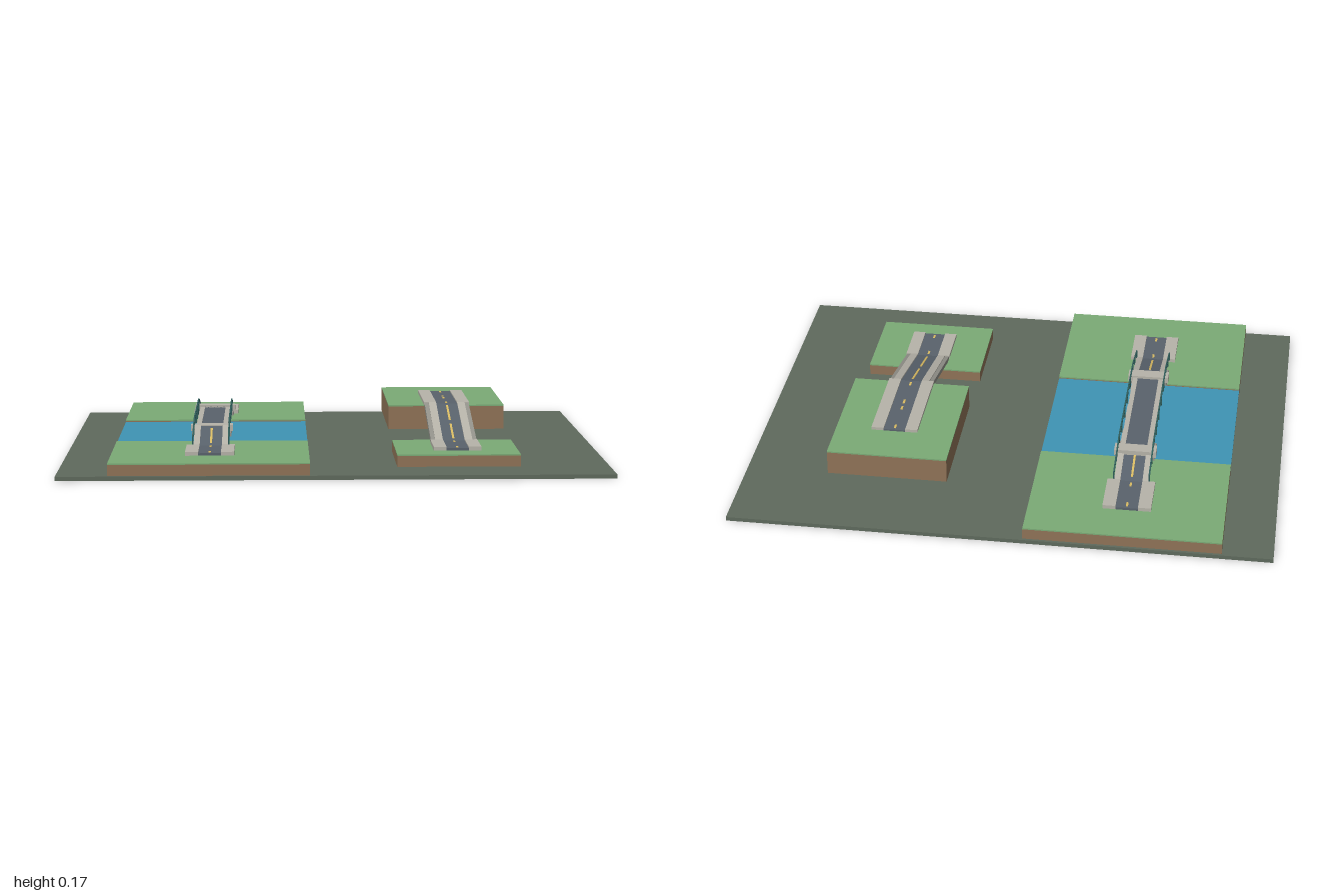
import * as THREE from 'three';

const mat = (name, color) => {
  const m = new THREE.MeshStandardMaterial({ color });
  m.name = name;
  return m;
};

export function createModel() {
  const model = new THREE.Group();
  model.name = 'roadBridgeDiorama';
  const M = {
    base: mat('base grey green', 0x5f6a5d),
    grass: mat('grass green', 0x7bab76),
    dirt: mat('dirt brown', 0x8f7357),
    water: mat('water blue', 0x3f94b4),
    road: mat('asphalt', 0x59626c),
    kerb: mat('pale concrete', 0xb6b3a9),
    stone: mat('grey concrete', 0x93928b),
    paint: mat('lane yellow', 0xd8ba62),
    rail: mat('railing teal', 0x2f5c59),
  };

  const group = (name) => {
    const g = new THREE.Group();
    g.name = name;
    model.add(g);
    return g;
  };

  // Axis-aligned block given by its extents
  const block = (parent, name, m, x0, x1, y0, y1, z0, z1) => {
    const mesh = new THREE.Mesh(new THREE.BoxGeometry(x1 - x0, y1 - y0, z1 - z0), m);
    mesh.position.set((x0 + x1) / 2, (y0 + y1) / 2, (z0 + z1) / 2);
    mesh.name = name;
    parent.add(mesh);
  };

  // Slab whose top runs from height ya at za to yb at zb (za < zb)
  const slab = (parent, name, m, x0, x1, za, ya, zb, yb, t) => {
    const geo = new THREE.BoxGeometry(x1 - x0, t, 1);
    const p = geo.attributes.position;
    for (let i = 0; i < p.count; i++) {
      const k = p.getZ(i) + 0.5;
      p.setY(i, p.getY(i) - t / 2 + ya + (yb - ya) * k);
      p.setZ(i, za + (zb - za) * k);
    }
    geo.computeVertexNormals();
    const mesh = new THREE.Mesh(geo, m);
    mesh.position.x = (x0 + x1) / 2;
    mesh.name = name;
    parent.add(mesh);
  };

  // Dirt block with a thin grass top
  const land = (name, x0, x1, y0, y1, z0, z1) => {
    const g = group(name);
    block(g, 'dirt', M.dirt, x0, x1, y0, y1 - 0.005, z0, z1);
    block(g, 'grass', M.grass, x0, x1, y1 - 0.005, y1, z0, z1);
  };

  // Road section with raised pavements; dashes are [start, end] fractions
  const roadPiece = (name, cx, half, za, ya, zb, yb, dashes, t = 0.012) => {
    const g = group(name);
    const at = (k) => [za + (zb - za) * k, ya + (yb - ya) * k];
    slab(g, 'roadSurface', M.road, cx - 0.041, cx + 0.041, za, ya, zb, yb, t);
    for (const s of [-1, 1]) {
      const a = cx + s * 0.041, b = cx + s * half;
      slab(g, 'pavement', M.kerb, Math.min(a, b), Math.max(a, b), za, ya + 0.005, zb, yb + 0.005, t + 0.005);
    }
    for (const [k0, k1] of dashes) {
      const [z0, y0] = at(k0), [z1, y1] = at(k1);
      slab(g, 'laneDash', M.paint, cx - 0.004, cx + 0.004, z0, y0 + 0.0015, z1, y1 + 0.0015, 0.0015);
    }
    return g;
  };
  const ends = [[0.06, 0.2], [0.8, 0.94]];

  // Ground
  block(model, 'basePlate', M.base, -1, 1, 0, 0.015, -0.815, 0.815);
  land('backBank', -0.815, -0.095, 0.015, 0.06, -0.805, -0.28);
  land('frontBank', -0.815, -0.095, 0.015, 0.06, 0.28, 0.805);
  block(model, 'water', M.water, -0.815, -0.095, 0.042, 0.052, -0.28, 0.28);
  land('lowGround', 0.225, 0.675, 0.015, 0.06, 0.275, 0.63);
  land('highGround', 0.225, 0.675, 0.06, 0.155, -0.54, 0);

  // Sloped road joining the two ground levels
  const rx = 0.452;
  roadPiece('lowRoad', rx, 0.088, 0.36, 0.069, 0.54, 0.069, ends);
  roadPiece('highRoadFront', rx, 0.088, -0.183, 0.161, 0, 0.161, ends, 0.008);
  roadPiece('highRoadBack', rx, 0.088, -0.366, 0.161, -0.183, 0.161, ends, 0.008);
  const slope = roadPiece('slopeRoad', rx, 0.07, 0, 0.161, 0.36, 0.069, [[0.06, 0.46], [0.56, 0.94]]);
  for (const s of [-1, 1]) {
    const c = rx + s * 0.078;
    slab(slope, 'sideBeam', M.stone, c - 0.008, c + 0.008, 0, 0.162, 0.36, 0.07, 0.018);
  }

  // Bridge over the water
  const bx = -0.456;
  roadPiece('frontEndRoad', bx, 0.089, 0.455, 0.069, 0.635, 0.069, ends);
  roadPiece('backEndRoad', bx, 0.089, -0.638, 0.069, -0.458, 0.069, ends);
  roadPiece('frontRamp', bx, 0.064, 0.275, 0.115, 0.455, 0.069, [[0.12, 0.88]]);
  roadPiece('backRamp', bx, 0.064, -0.458, 0.069, -0.278, 0.113, [[0.12, 0.88]]);
  const deck = group('bridgeDeck');
  block(deck, 'deckRoad', M.road, bx - 0.041, bx + 0.041, 0.097, 0.109, -0.28, 0.28);
  for (const s of [-1, 1]) {
    const c = bx + s * 0.05;
    block(deck, 'deckEdge', M.kerb, c - 0.009, c + 0.009, 0.095, 0.112, -0.28, 0.28);
  }

  // Abutments with a raised cross band
  for (const [name, z0, z1, b0, b1] of [['frontAbutment', 0.225, 0.33, 0.225, 0.275], ['backAbutment', -0.33, -0.225, -0.328, -0.278]]) {
    const g = group(name);
    block(g, 'abutmentBlock', M.stone, bx - 0.074, bx + 0.074, 0.084, 0.096, z0, z1);
    block(g, 'crossBand', M.kerb, bx - 0.079, bx + 0.079, 0.096, 0.119, b0, b1);
  }

  // Piers: footing, column and cap
  for (const z of [-0.187, 0, 0.187]) {
    const g = group('pier');
    block(g, 'footing', M.kerb, bx - 0.06, bx + 0.06, 0.06, 0.071, z - 0.047, z + 0.047);
    block(g, 'column', M.stone, bx - 0.045, bx + 0.045, 0.071, 0.086, z - 0.022, z + 0.022);
    block(g, 'pierCap', M.kerb, bx - 0.063, bx + 0.063, 0.086, 0.098, z - 0.04, z + 0.04);
  }

  // Railings following the deck and ramps on both sides
  const rails = group('railings');
  const posts = [[0.455, 0.069, 0.102], [0.365, 0.09, 0.124]];
  for (const s of [-1, 1]) {
    const x = bx + s * 0.066, r = 0.0028;
    const top = (za, ya, zb, yb) => slab(rails, 'handrail', M.rail, x - r, x + r, za, ya, zb, yb, 0.005);
    top(-0.458, 0.103, -0.275, 0.147);
    top(-0.275, 0.147, 0.275, 0.147);
    top(0.275, 0.147, 0.458, 0.103);
    const post = (z, y0, y1) => block(rails, 'railPost', M.rail, x - r, x + r, y0, y1, z - r, z + r);
    for (const [z, y0, y1] of posts) {
      post(z, y0, y1);
      post(-z, y0, y1);
    }
    for (let i = 0; i < 6; i++) post(-0.272 + i * 0.1088, 0.096, 0.145);
  }
  return model;
}
